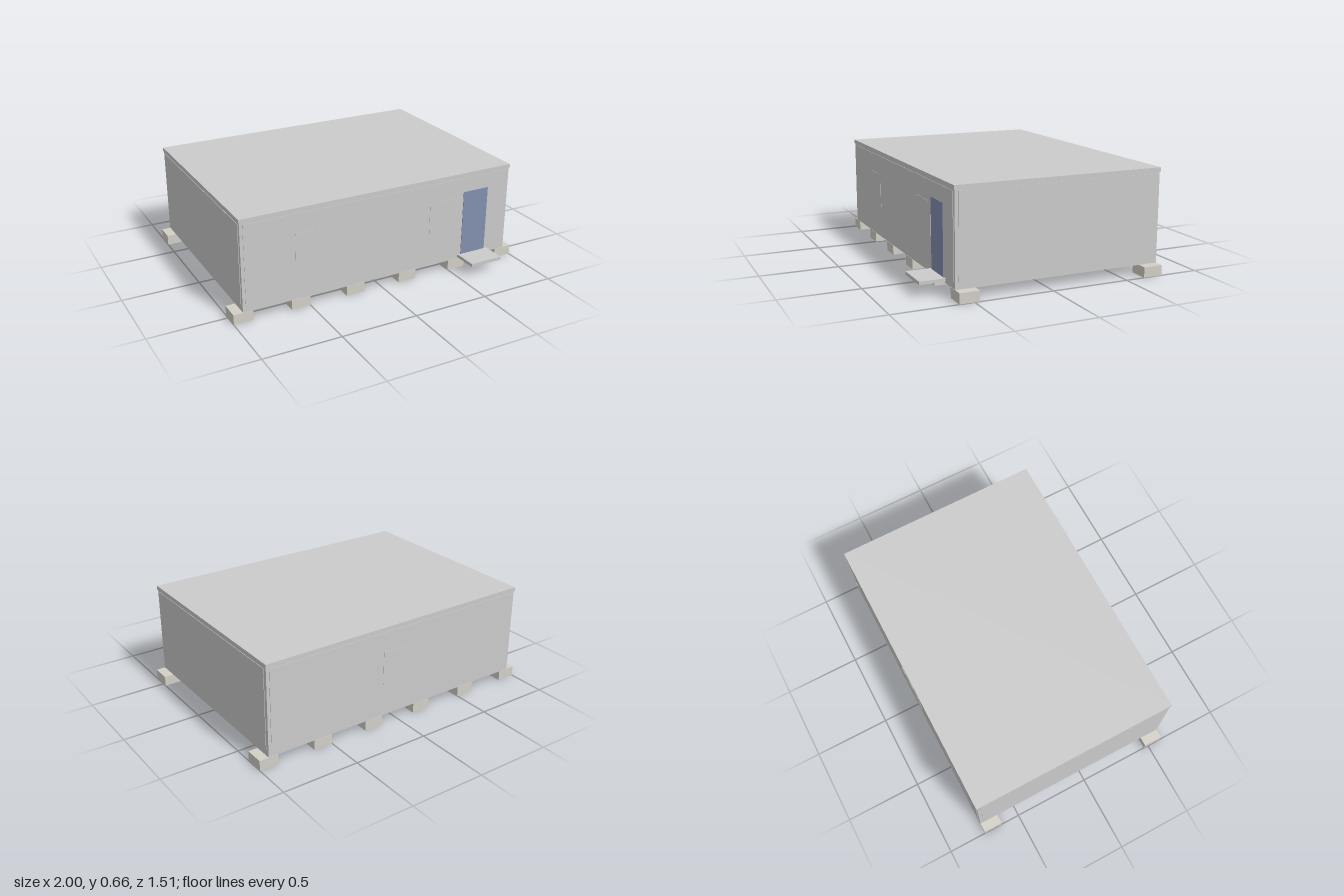
import * as THREE from 'three';

export function createModel() {
  const model = new THREE.Group();
  const grey = new THREE.MeshStandardMaterial({ color: 0xcccccc });
  const concrete = new THREE.MeshStandardMaterial({ color: 0xd3d0c7 });
  const blue = new THREE.MeshStandardMaterial({ color: 0x8390af });

  // Box given by its minimum and maximum on each axis
  function box(name, [x0, x1], [y0, y1], [z0, z1], material = grey) {
    const mesh = new THREE.Mesh(new THREE.BoxGeometry(x1 - x0, y1 - y0, z1 - z0), material);
    mesh.position.set((x0 + x1) / 2, (y0 + y1) / 2, (z0 + z1) / 2);
    mesh.name = name;
    model.add(mesh);
  }

  const back = -0.75, front = 0.593, side = 0.94;

  // Cabin frame and roof rim
  box('cabinFrame', [-side, side], [0.067, 0.645], [back, front]);
  box('roof', [-0.944, 0.944], [0.637, 0.663], [back - 0.006, front + 0.005]);

  // Floor in three bays, seen from below
  for (let i = -1; i <= 1; i++) {
    const c = i * 0.6267;
    box('floorBay', [c - 0.312, c + 0.312], [0.065, 0.072], [back + 0.002, front - 0.002], concrete);
  }

  // Wall panels standing slightly proud of the frame
  const wallY = [0.108, 0.628];
  box('frontWall', [-0.92, 0.92], wallY, [front - 0.01, front + 0.003]);
  box('backWall', [-0.92, 0.92], wallY, [back - 0.003, back + 0.01]);
  for (const s of [-1, 1]) {
    const xs = [s * (side - 0.01), s * (side + 0.003)].sort((a, b) => a - b);
    box(s < 0 ? 'rightWall' : 'leftWall', xs, wallY, [-0.727, 0.572]);
  }

  // Windows
  const windowY = [0.28, 0.5];
  for (const x of [-0.595, 0.34]) {
    box('frontWindow', [x, x + 0.245], windowY, [front, front + 0.005]);
  }
  box('backWindow', [-0.125, 0.125], windowY, [back - 0.005, back]);

  // Door and step
  box('door', [0.592, 0.778], [0.095, 0.533], [front, front + 0.006], blue);
  box('doorStep', [0.572, 0.8], [0.075, 0.096], [front, 0.755]);

  // Two rows of foundation blocks
  for (let i = 0; i < 6; i++) {
    const x = -1 + i * 0.375;
    box('foundationBlock', [x, x + 0.125], [0, 0.0655], [front - 0.125, front], concrete);
    box('foundationBlock', [x, x + 0.125], [0, 0.0655], [back, back + 0.125], concrete);
  }
  return model;
}
